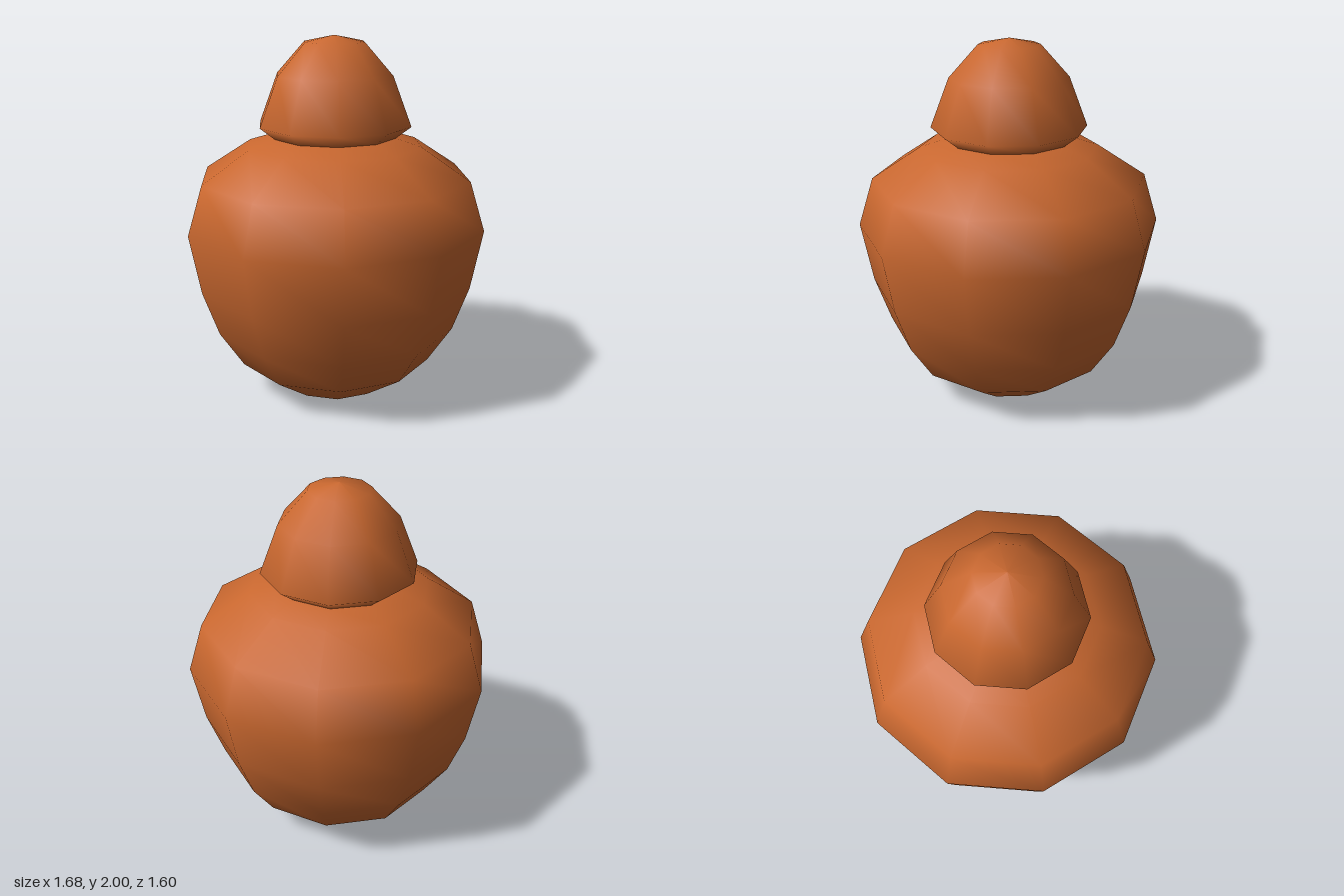
import * as THREE from 'three';

export function createModel() {
  const group = new THREE.Group();
  const terracotta = new THREE.MeshStandardMaterial({ color: 0xc8672f });
  terracotta.name = 'terracotta';

  // ten-sided turned part, with a corner on the x axis
  const turned = (name, profile) => {
    const points = profile.map(([r, y]) => new THREE.Vector2(r, y));
    const mesh = new THREE.Mesh(new THREE.LatheGeometry(points, 10, Math.PI / 2), terracotta);
    mesh.name = name;
    group.add(mesh);
  };

  // rounded jar body with a closed foot and shoulder rising to the neck
  turned('jarBody', [
    [0, 0], [0.29, 0], [0.55, 0.175], [0.685, 0.38], [0.775, 0.63],
    [0.84, 0.965], [0.757, 1.235], [0.49, 1.41], [0.345, 1.455],
  ]);

  // domed lid with an overhanging rim
  turned('domedLid', [
    [0.345, 1.455], [0.428, 1.52], [0.325, 1.79], [0.168, 1.965], [0, 2],
  ]);

  return group;
}
